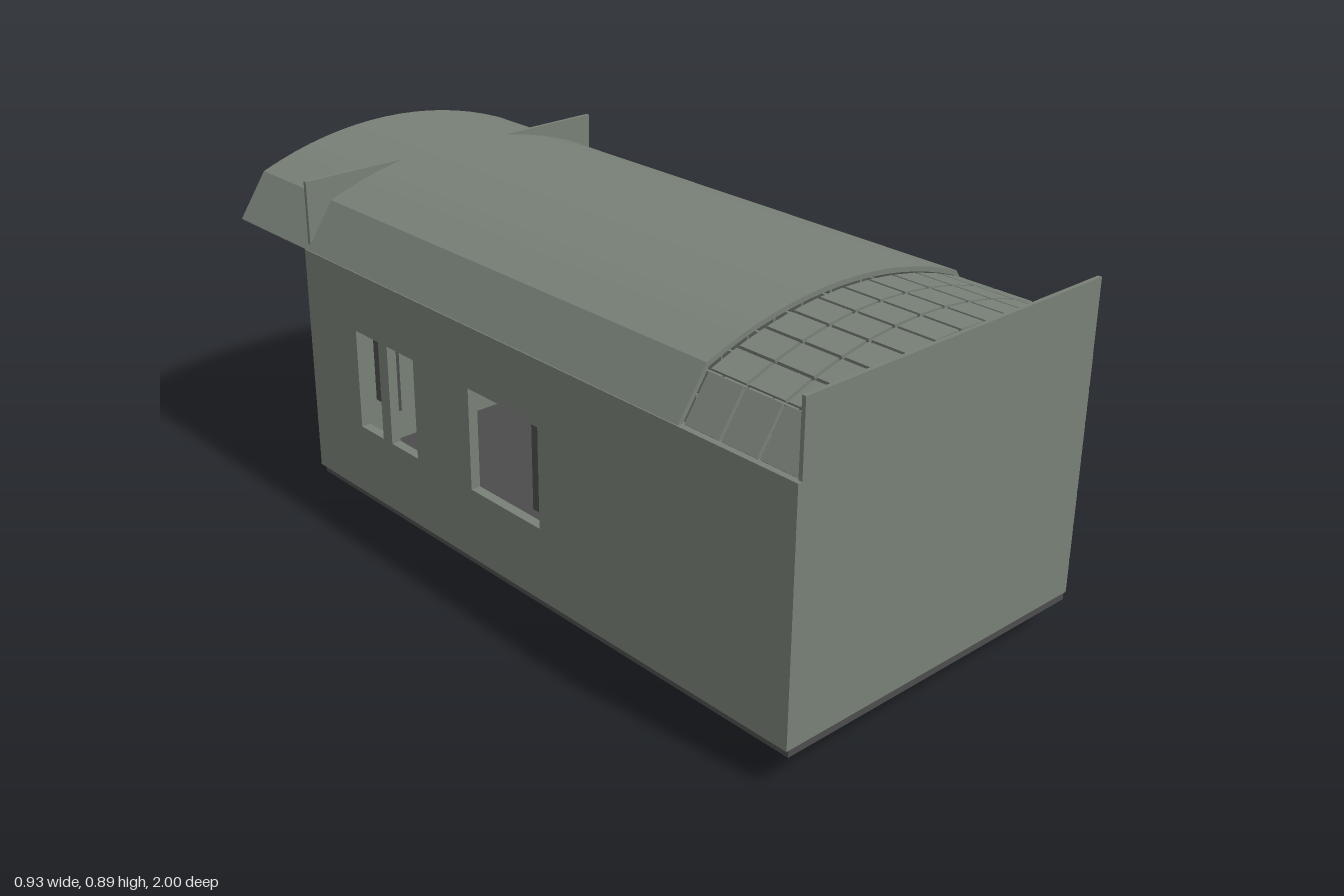
import * as THREE from 'three';

export function createModel() {
  const model = new THREE.Group();
  const cladding = new THREE.MeshStandardMaterial({ color: 0x788077 });
  cladding.name = 'grey green cladding';
  const base = new THREE.MeshStandardMaterial({ color: 0x4c4c4c });
  base.name = 'dark grey base';

  function add(name, geometry, material, parent = model) {
    const mesh = new THREE.Mesh(geometry, material);
    mesh.name = name;
    parent.add(mesh);
    return mesh;
  }

  // Box given by its lower and upper limits on each axis
  function box(name, [x0, x1], [y0, y1], [z0, z1], material, parent) {
    const mesh = add(name, new THREE.BoxGeometry(x1 - x0, y1 - y0, z1 - z0), material, parent);
    mesh.position.set((x0 + x1) / 2, (y0 + y1) / 2, (z0 + z1) / 2);
    return mesh;
  }

  // Curved strip: outer outline thickened inwards, extruded from z0 to z1
  function shell(points, thickness, z0, z1) {
    const centre = new THREE.Vector2(0, 0.3);
    const inner = points.map((p) => p.clone().add(centre.clone().sub(p).setLength(thickness)));
    const shape = new THREE.Shape([...points, ...inner.reverse()]);
    return new THREE.ExtrudeGeometry(shape, { depth: z1 - z0, bevelEnabled: false }).translate(0, 0, z0);
  }

  // Shallow arc with one steep facet at each eave
  const radius = 1.05, shoulder = 0.388;
  const arcY = (x, top) => top - radius + Math.sqrt(radius * radius - x * x);
  function profile(top, tip, steps) {
    const points = [new THREE.Vector2(-tip, 0.7)];
    for (let i = 0; i <= steps; i++) {
      const x = -shoulder + (2 * shoulder * i) / steps;
      points.push(new THREE.Vector2(x, arcY(x, top)));
    }
    points.push(new THREE.Vector2(tip, 0.7));
    return points;
  }

  // Floor slab and the small post under it
  box('floorSlab', [-0.457, 0.457], [0.078, 0.1], [-0.685, 0.995], base);
  const post = add('post', new THREE.CylinderGeometry(0.011, 0.011, 0.08, 16), base);
  post.position.set(-0.179, 0.04, -0.143);

  // End walls, both rising to square corners
  box('frontWall', [-0.457, 0.457], [0.1, 0.875], [0.99, 1], cladding);
  box('backWall', [-0.457, 0.457], [0.1, 0.875], [-0.69, -0.68], cladding);

  // Right wall with three window openings
  const windows = [[-0.48, -0.385], [-0.348, -0.24], [-0.025, 0.227]];
  const wall = new THREE.Shape([
    new THREE.Vector2(-0.69, 0.1), new THREE.Vector2(1, 0.1),
    new THREE.Vector2(1, 0.7), new THREE.Vector2(-0.69, 0.7),
  ]);
  for (const [a, b] of windows) {
    wall.holes.push(new THREE.Path([
      new THREE.Vector2(a, 0.285), new THREE.Vector2(a, 0.545),
      new THREE.Vector2(b, 0.545), new THREE.Vector2(b, 0.285),
    ]));
  }
  const wallGeometry = new THREE.ExtrudeGeometry(wall, { depth: 0.025, bevelEnabled: false });
  wallGeometry.rotateY(-Math.PI / 2).translate(-0.443, 0, 0);
  add('windowWall', wallGeometry, cladding);

  // Inner screens behind part of the windows
  box('smallWindowScreen', [-0.42, -0.41], [0.345, 0.545], [-0.48, -0.385], base);
  box('largeWindowScreen', [-0.42, -0.41], [0.285, 0.5], [0.145, 0.227], base);

  // Left wall of separate tiles with open joints
  const tiles = new THREE.Group();
  tiles.name = 'tiledWall';
  model.add(tiles);
  const columns = 18, rows = 7, tileW = 1.69 / columns, tileH = 0.6 / rows;
  for (let c = 0; c < columns; c++) {
    for (let r = 0; r < rows; r++) {
      const z = -0.69 + c * tileW, y = 0.1 + r * tileH;
      box('wallTile', [0.447, 0.458], [y + 0.004, y + tileH - 0.004],
        [z + (c ? 0.003 : 0), z + tileW - (c < columns - 1 ? 0.003 : 0)], cladding, tiles);
    }
  }

  // Main roof, overhanging the back wall
  add('mainRoof', shell(profile(0.888, 0.465, 16), 0.012, -1, 0.67), cladding);

  // Front roof of separate curved tiles
  const roofTiles = new THREE.Group();
  roofTiles.name = 'tiledRoof';
  model.add(roofTiles);
  const line = profile(0.876, 0.458, 10);
  const rowDepth = 0.315 / 3;
  for (let i = 0; i < line.length - 1; i++) {
    const a = line[i], b = line[i + 1], inset = 0.004 / a.distanceTo(b);
    const strip = [a.clone().lerp(b, inset), a.clone().lerp(b, 1 - inset)];
    for (let r = 0; r < 3; r++) {
      const z = 0.675 + r * rowDepth;
      add('roofTile', shell(strip, 0.01, z + 0.004, z + rowDepth - 0.004), cladding, roofTiles);
    }
  }

  return model;
}
